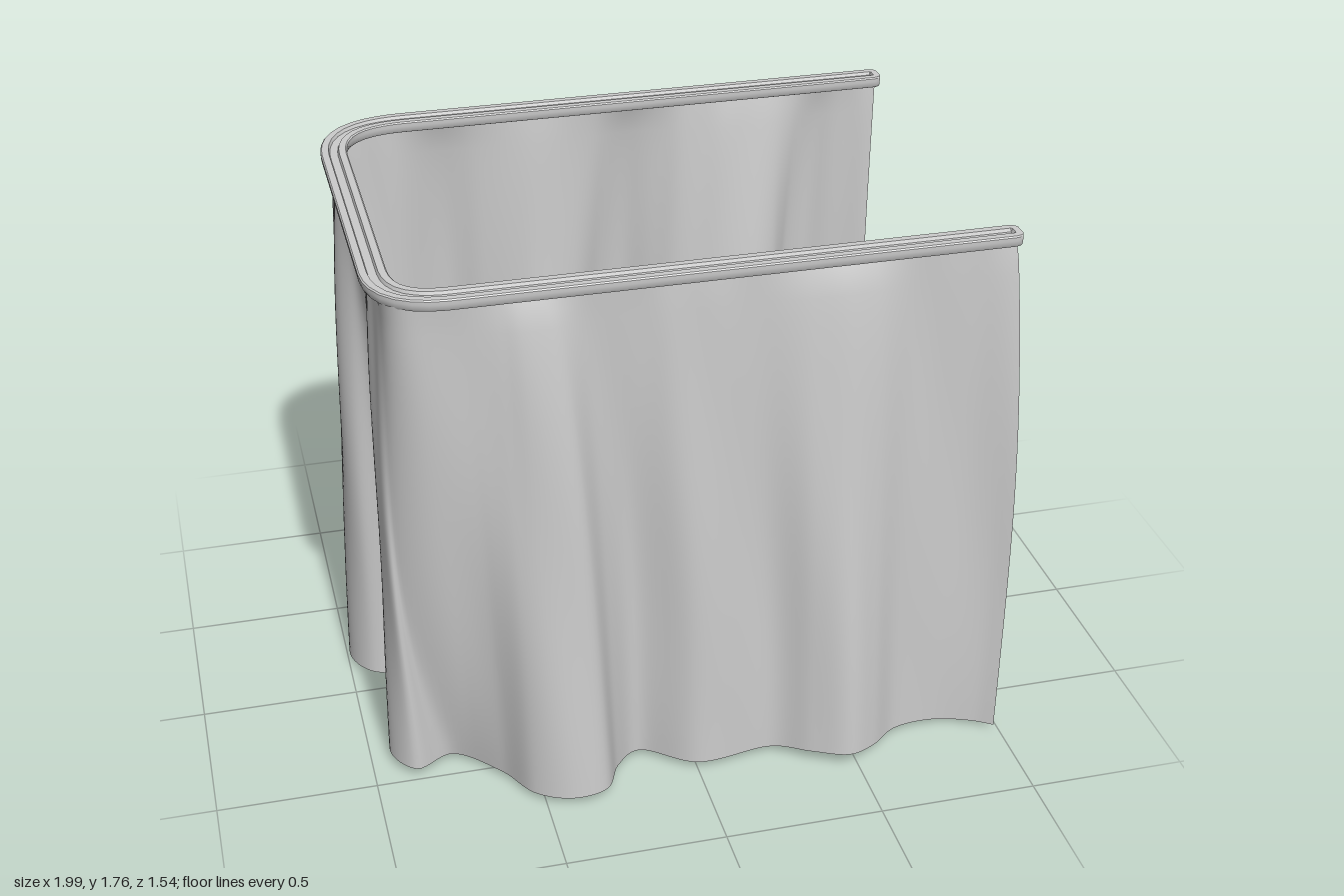
import * as THREE from 'three';
import { toCreasedNormals } from 'three/addons/utils/BufferGeometryUtils.js';

const material = new THREE.MeshStandardMaterial({ color: 0xcccccc, side: THREE.DoubleSide });
const v = (x, z) => new THREE.Vector3(x, 0, z);

// U-shaped plan from the front end round the side to the back end; rf and rb round the corners
function planPath(rf, rb) {
  const left = -0.9, front = 0.622, back = -0.64, end = 0.955;
  const path = new THREE.CurvePath();
  path.add(new THREE.LineCurve3(v(end, front), v(left + rf, front)));
  path.add(new THREE.QuadraticBezierCurve3(v(left + rf, front), v(left, front), v(left, front - rf)));
  path.add(new THREE.LineCurve3(v(left, front - rf), v(left, back + rb)));
  path.add(new THREE.QuadraticBezierCurve3(v(left, back + rb), v(left, back), v(left + rb, back)));
  path.add(new THREE.LineCurve3(v(left + rb, back), v(end, back)));
  return path;
}

// Skin a list of equal-length rows of points; closed rows also get end caps
function skin(rows, closed) {
  const n = rows[0].length, pos = [], index = [];
  rows.forEach(row => row.forEach(p => pos.push(p.x, p.y, p.z)));
  for (let i = 0; i < rows.length - 1; i++) {
    for (let j = 0; j < (closed ? n : n - 1); j++) {
      const a = i * n + j, b = i * n + (j + 1) % n;
      index.push(a, b, b + n, a, b + n, a + n);
    }
  }
  if (closed) {
    [0, rows.length - 1].forEach((r, side) => {
      const c = new THREE.Vector3();
      rows[r].forEach(p => c.addScaledVector(p, 1 / n));
      const k = pos.length / 3;
      pos.push(c.x, c.y, c.z);
      for (let j = 0; j < n; j++) {
        const a = r * n + j, b = r * n + (j + 1) % n;
        if (side) index.push(k, a, b); else index.push(k, b, a);
      }
    });
  }
  const g = new THREE.BufferGeometry();
  g.setAttribute('position', new THREE.Float32BufferAttribute(pos, 3));
  g.setIndex(index);
  g.computeVertexNormals();
  return g;
}

// Path point and outward direction at a fraction of its length
function frame(path, u) {
  const p = path.getPointAt(u), t = path.getTangentAt(u);
  return { p, n: new THREE.Vector3(t.z, 0, -t.x).normalize() };
}

// Rail: flat-topped section with rounded underside and a shallow groove along the top
function makeRail() {
  const path = planPath(0.19, 0.25);
  const section = [[-0.025, 1.72], [0.025, 1.72], [0.034, 1.724], [0.039, 1.733], [0.041, 1.745],
    [0.041, 1.756], [0.037, 1.76], [0.016, 1.76], [0.012, 1.75], [-0.012, 1.75],
    [-0.016, 1.76], [-0.037, 1.76], [-0.041, 1.756], [-0.041, 1.745], [-0.039, 1.733], [-0.034, 1.724]];
  const length = path.getLength(), round = 0.03;
  const us = [0, 0.002, 0.006, 0.012, 0.02, 0.025, 0.03].map(d => d / length);
  const ends = us.slice().reverse().map(u => 1 - u);
  for (let i = 1; i < 120; i++) us.push(i / 120);
  us.push(...ends);
  const rows = us.map(u => {
    const { p, n } = frame(path, u);
    const d = Math.min(u, 1 - u) * length;
    const width = 0.5 + 0.5 * Math.sqrt(1 - Math.max(0, 1 - d / round) ** 2);
    return section.map(([w, y], k) => {
      const filled = (k === 8 || k === 9) && d < 0.023;
      return p.clone().addScaledVector(n, w * width).setY(filled ? 1.76 : y);
    });
  });
  return new THREE.Mesh(toCreasedNormals(skin(rows, true), 0.6), material);
}

// Curtain: hangs straight at the rail and fans out into folds at the hem
function makeCurtain() {
  const path = planPath(0.08, 0.12);
  // hem points: x, z, height
  const hemPoints = [
    [0.985, 0.695, 0.015], [0.93, 0.66, 0.015], [0.8, 0.625, 0.02], [0.66, 0.65, 0.03], [0.56, 0.73, 0.04],
    [0.47, 0.77, 0.05], [0.36, 0.72, 0.045], [0.25, 0.645, 0.03], [0.0, 0.66, 0.025], [-0.17, 0.555, 0.025],
    [-0.25, 0.62, 0.03], [-0.31, 0.73, 0.035], [-0.42, 0.745, 0.03], [-0.53, 0.685, 0.025], [-0.61, 0.55, 0.02],
    [-0.75, 0.43, 0.025], [-0.87, 0.485, 0.03], [-0.94, 0.385, 0.035], [-0.87, 0.2, 0.04], [-0.75, 0.07, 0.04],
    [-0.83, 0.0, 0.04], [-0.94, -0.06, 0.035], [-0.99, -0.16, 0.025], [-0.98, -0.28, 0.01], [-0.915, -0.375, 0.002],
    [-0.77, -0.515, 0.002], [-0.63, -0.66, 0.015], [-0.5, -0.765, 0.025], [-0.39, -0.69, 0.03], [-0.25, -0.585, 0.03],
    [-0.11, -0.64, 0.03], [-0.03, -0.74, 0.035], [0.07, -0.77, 0.035], [0.15, -0.69, 0.03], [0.24, -0.58, 0.025],
    [0.48, -0.48, 0.03], [0.575, -0.53, 0.035], [0.61, -0.67, 0.035], [0.7, -0.735, 0.03], [0.79, -0.69, 0.03],
    [0.925, -0.605, 0.025]];
  const hem = new THREE.CatmullRomCurve3(hemPoints.map(([x, z, y]) => new THREE.Vector3(x, y, z)));
  const last = hemPoints.length - 1;
  hem.arcLengthDivisions = last * 20;
  const lengths = hem.getLengths();

  // tie the corners and the main folds of the hem to places along the rail
  const corners = [0.376, 0.626];
  const anchors = [[0, 0.002], [11, 0.289], [13, 0.312], [15, corners[0]], [20, 0.525], [25, corners[1]],
    [31, 0.812], [34, 0.877], [last, 0.998]].map(([k, u]) => [lengths[k * 20] / lengths[last * 20], u]);
  const toRail = f => {
    const i = anchors.findIndex(a => f <= a[0] + 1e-9) || 1;
    return THREE.MathUtils.mapLinear(f, anchors[i - 1][0], anchors[i][0], anchors[i - 1][1], anchors[i][1]);
  };

  const columns = 360, levels = 32, top = 1.73, rows = [], strips = [];
  for (let j = 0; j <= columns; j++) {
    const f = j / columns, u = toRail(f), h = hem.getPointAt(f), { p, n } = frame(path, u);
    // folds that lean outwards swell earlier below the rail
    const out = THREE.MathUtils.clamp(h.clone().sub(p).dot(n) / 0.1, -0.3, 1);
    // the cloth billows at both corners
    const billow = corners.reduce((sum, c) => sum + 0.055 * Math.exp(-(((u - c) / 0.03) ** 2)), 0);
    strips.push({ f, h, p, n, billow, power: 0.72 - 0.15 * out });
  }
  for (let i = 0; i <= levels; i++) {
    const s = i / levels, arch = Math.sin(Math.PI * s);
    rows.push(strips.map(({ f, h, p, n, billow, power }) => {
      const gather = 0.05 * Math.sin(f * 170 + 2 * Math.sin(f * 31)) * s * Math.exp(-7 * s);
      const ripple = 0.006 * Math.sin(f * 95 + 5 * s) * arch;
      const q = p.clone().lerp(h, Math.pow(s, power)).addScaledVector(n, gather + ripple + billow * arch);
      q.x += 0.022 * arch * Math.exp(-40 * f);
      return q.setY(top + (h.y - top) * s);
    }));
  }
  return new THREE.Mesh(skin(rows, false), material);
}

export function createModel() {
  const group = new THREE.Group();
  const rail = makeRail();
  rail.name = 'curtainRail';
  const curtain = makeCurtain();
  curtain.name = 'curtain';
  group.add(rail, curtain);
  return group;
}
